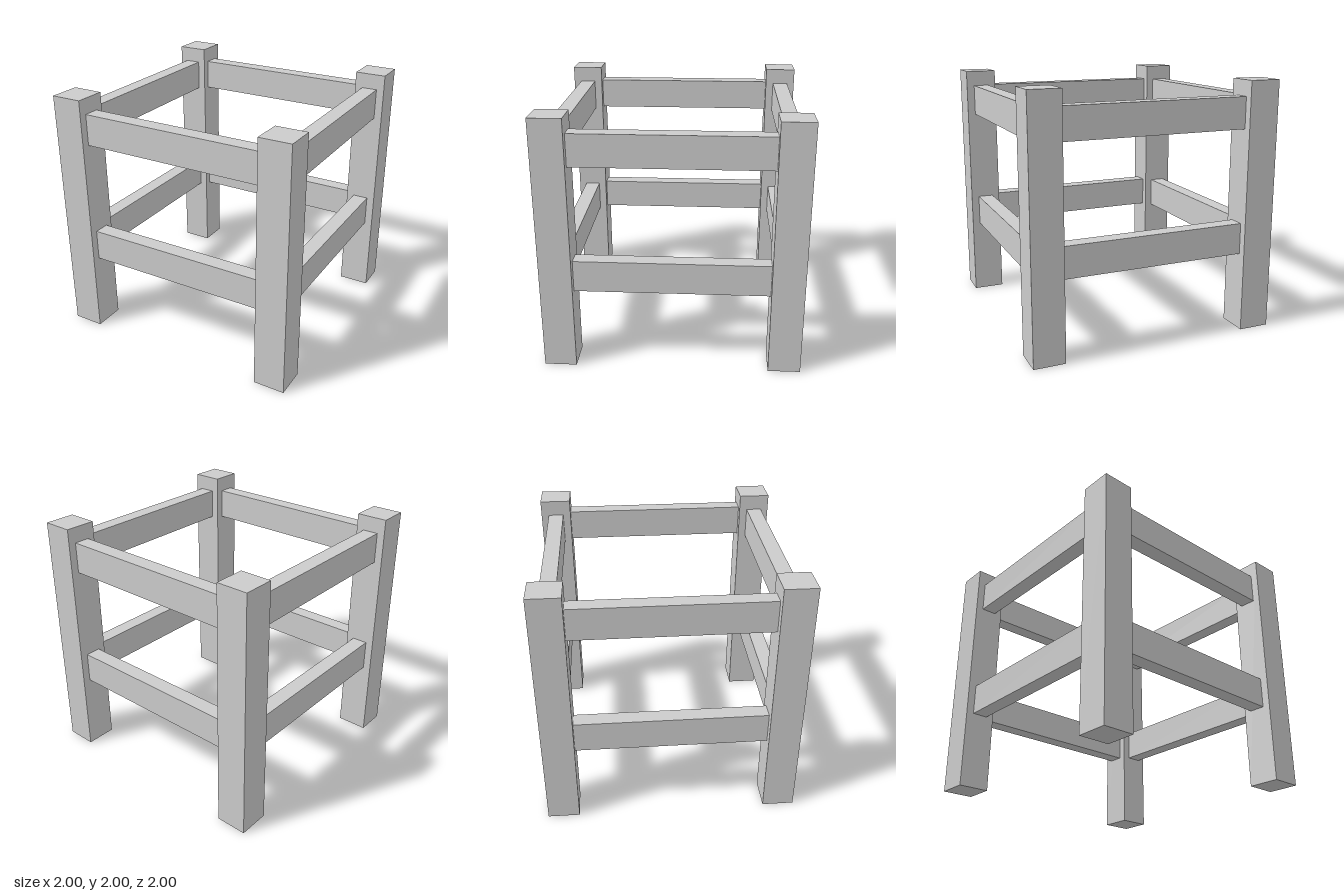
import * as THREE from 'three';

const POST = 0.25;        // square post width
const RAIL_H = 0.25;      // rail height
const RAIL_T = 0.125;     // rail thickness
const OFFSET = 1 - POST / 2; // post and rail centre lines
const SPAN = 2 - 2 * POST;   // clear distance between posts

export function createModel() {
  const group = new THREE.Group();
  group.name = 'postAndRailFrame';
  const material = new THREE.MeshStandardMaterial({ color: 0xcccccc, flatShading: true });

  const addBox = (name, size, position) => {
    const mesh = new THREE.Mesh(new THREE.BoxGeometry(...size), material);
    mesh.name = name;
    mesh.position.set(...position);
    group.add(mesh);
  };

  // Corner posts
  for (const [sx, side] of [[1, 'Left'], [-1, 'Right']]) {
    for (const [sz, end] of [[1, 'front'], [-1, 'back']]) {
      addBox(`${end}${side}Post`, [POST, 2, POST], [sx * OFFSET, 1, sz * OFFSET]);
    }
  }

  // Lower and upper rails on all four sides
  for (const [y, level] of [[0.75, 'lower'], [1.75, 'upper']]) {
    for (const s of [1, -1]) {
      addBox(`${level}${s > 0 ? 'Front' : 'Back'}Rail`, [SPAN, RAIL_H, RAIL_T], [0, y, s * OFFSET]);
      addBox(`${level}${s > 0 ? 'Left' : 'Right'}Rail`, [RAIL_T, RAIL_H, SPAN], [s * OFFSET, y, 0]);
    }
  }

  return group;
}
